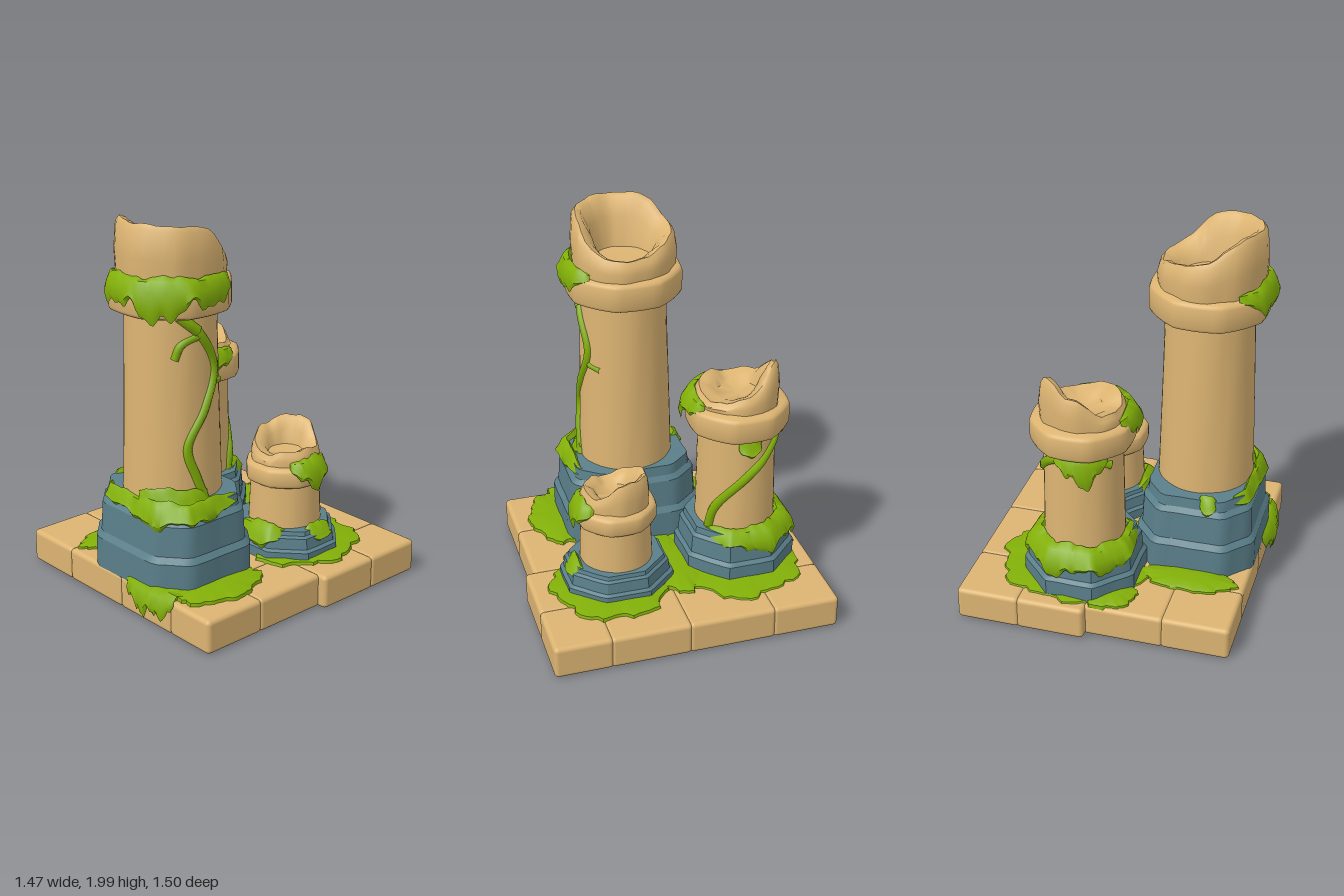
import * as THREE from 'three';
import { toCreasedNormals } from 'three/addons/utils/BufferGeometryUtils.js';
import { RoundedBoxGeometry } from 'three/addons/geometries/RoundedBoxGeometry.js';

const TAU = Math.PI * 2, rad = THREE.MathUtils.degToRad, lerp = THREE.MathUtils.lerp;

function makeMaterial(name, color, side = THREE.FrontSide) {
  const m = new THREE.MeshStandardMaterial({ color, side });
  m.name = name;
  return m;
}
const sand = makeMaterial('sandstone', 0xdcb472);
const slate = makeMaterial('blueStone', 0x5a7f8a);
const moss = makeMaterial('moss', 0x82af08, THREE.DoubleSide);

function add(parent, name, geometry, material) {
  const m = new THREE.Mesh(geometry, material);
  m.name = name;
  parent.add(m);
  return m;
}

// Smooth repeating wobble in about -1..1
const wobble = (a, seed) =>
  Math.sin(a * 3 + seed) * 0.5 + Math.sin(a * 7 + seed * 2.3) * 0.3 + Math.sin(a * 13 + seed * 4.1) * 0.2;

// Distance to a unit square with its corners cut off (k = 1.414 is an octagon)
function cutSquare(a, k) {
  const c = Math.abs(Math.cos(a)), s = Math.abs(Math.sin(a));
  return 1 / Math.max(c, s, (c + s) / k);
}
const softOctagon = a => lerp(1, cutSquare(a, 1.414), 0.45);

// Grid surface: fn(u index, v index) gives [x, y, z]; wrap joins the first and last columns
function surface(nu, nv, wrap, fn, crease = 0.9) {
  const pos = [], index = [], cols = wrap ? nu : nu + 1;
  for (let v = 0; v < nv; v++) for (let u = 0; u < cols; u++) pos.push(...fn(u, v));
  for (let v = 0; v < nv - 1; v++) for (let u = 0; u < nu; u++) {
    const a = v * cols + u, b = v * cols + (u + 1) % cols;
    index.push(a, a + cols, b, b, a + cols, b + cols);
  }
  const g = new THREE.BufferGeometry();
  g.setAttribute('position', new THREE.Float32BufferAttribute(pos, 3));
  g.setIndex(index);
  return toCreasedNormals(g, crease);
}

// Turned part whose radius may vary with the angle
function turned(profile, shape, n = 48, crease = 0.6) {
  return surface(n, profile.length, true, (u, v) => {
    const a = u / n * TAU, [r, y] = profile[v], q = r * shape(a, y);
    return [Math.cos(a) * q, y, Math.sin(a) * q];
  }, crease);
}

// Broken hollow top with eight rim heights, starting at +x and turning towards +z
function brokenCrown(ro, ri, y0, rim, seed) {
  const n = 40, floor = y0 + 0.025;
  return surface(n, 8, true, (u, v) => {
    const t = u / n * 8, i = Math.floor(t), f = t - i, a = u / n * TAU;
    const h = lerp(rim[i], rim[(i + 1) % 8], f * f * (3 - 2 * f)) + wobble(a, seed) * 0.015;
    const w = 1 + wobble(a, seed + 2) * 0.045;
    const [r, y] = [
      [ro * 0.98, y0 - 0.02], [ro * 1.01, lerp(y0, h, 0.45)], [ro * 0.97, h - 0.025],
      [ro * 0.9, h], [lerp(ri, ro, 0.45), h - 0.01], [ri * 1.02, lerp(floor, h, 0.6)],
      [ri * 0.85, floor + 0.01], [0, floor],
    ][v];
    return [Math.cos(a) * r * w, y, Math.sin(a) * r * w];
  });
}

// Moss draped over a ledge between two angles in degrees, with a ragged hem
function mossDrape(from, to, rIn, rOut, top, drop, shape) {
  const n = Math.ceil((to - from) / 3), seed = top * 7;
  return surface(n, 6, false, (u, v) => {
    const t = u / n, a = rad(lerp(from, to, t)), q = shape(a);
    const bulge = Math.max(Math.sin(Math.PI * t), 0), env = Math.sqrt(bulge);
    const hem = drop * Math.pow(bulge, 0.8) * (0.65 + 0.45 * wobble(a * 2, seed));
    const edge = lerp(rIn, rOut, 0.3 + 0.7 * env);
    const [r, y] = [
      [rIn - 0.015, top - 0.02], [rIn + 0.01, top + 0.03 * env * (1 + wobble(a * 2, seed + 1) * 0.5)],
      [lerp(rIn, edge, 0.65), top + 0.015 * env], [edge, top - 0.03],
      [edge + 0.015 * env, top - 0.03 - hem * 0.6], [edge, top - 0.03 - hem],
    ][v];
    return [Math.cos(a) * r * q, y, Math.sin(a) * r * q];
  });
}

// Low irregular moss mound on the paving
function groundMoss(group, x, z, rx, rz, y) {
  const profile = [[1, 0.17], [0.98, y - 0.008], [0.85, y], [0.4, y + 0.008], [0, y + 0.01]];
  const shape = a => 1 + 0.11 * wobble(a * 2, x * 9 + z * 5);
  const g = surface(64, profile.length, true, (u, v) => {
    const a = u / 64 * TAU, r = profile[v][0] * shape(a);
    return [x + Math.cos(a) * rx * r, profile[v][1], z + Math.sin(a) * rz * r];
  });
  add(group, 'groundMoss', g, moss);
}

// One column; returns helpers that dress it with moss and vines
function column(group, name, x, z, { k, depth, half, plinthTop, shaft, cap, crown, rim }) {
  const g = new THREE.Group();
  g.name = name;
  g.position.set(x, 0, z);
  group.add(g);
  const [r0, r1] = shaft, [cr, c0, c1] = cap, e = 0.022, seed = x * 6;
  const y0 = plinthTop - 0.03;
  const radiusAt = y => lerp(r0, r1, (y - y0) / (c0 - y0));

  // Stepped plinth
  const level = t => lerp(0.17, plinthTop, t);
  const steps = [[1, 0], [1, 0.38], [0.935, 0.45], [0.91, 0.81], [0.85, 0.87], [0.83, 1], [0.6, 1.01]];
  add(g, 'plinth', turned(steps.map(([w, t]) => [w * half, level(t)]),
    a => cutSquare(a, k) * (1 + wobble(a, seed) * 0.012), 64, 0.5), slate).scale.z = depth;

  // Slightly worn shaft
  const rows = Array.from({ length: 9 }, (_, j) => lerp(y0, c0 + 0.02, j / 8));
  add(g, 'shaft', turned(rows.map(y => [radiusAt(y), y]),
    (a, y) => 1 + 0.012 * wobble(a + y * 0.4, seed + 1)), sand);

  // Rounded capital ring
  add(g, 'capital', turned([
    [r1 - 0.02, c0], [cr - e, c0], [cr - 0.006, c0 + 0.008], [cr, c0 + e],
    [cr, c1 - e], [cr - 0.006, c1 - 0.008], [cr - e, c1], [crown[0] * 0.8, c1 + 0.012],
  ], a => softOctagon(a) * 0.985, 48, 0.9), sand);
  add(g, 'brokenTop', brokenCrown(...crown, c1, rim, seed), sand);

  return {
    capitalMoss: (from, to, drop) =>
      add(g, 'capitalMoss', mossDrape(from, to, crown[0] - 0.01, cr + 0.02, c1 + 0.025, drop, softOctagon), moss),
    shaftMoss: (from, to, y, drop, bulge) =>
      add(g, 'shaftMoss', mossDrape(from, to, radiusAt(y), radiusAt(y) + bulge, y, drop, () => 1), moss),
    plinthMoss: (from, to, drop, reach) => {
      const drape = mossDrape(from, to, r0 - 0.01, half * reach, plinthTop, drop, a => cutSquare(a, k));
      add(g, 'plinthMoss', drape, moss).scale.z = depth;
    },
    // Vine through [angle, height] points, half sunk into the shaft
    vine: (thick, ...points) => {
      const path = points.map(([d, y]) => {
        const r = radiusAt(y) - 0.004;
        return new THREE.Vector3(Math.cos(rad(d)) * r, y, Math.sin(rad(d)) * r);
      });
      const curve = new THREE.CatmullRomCurve3(path);
      add(g, 'vine', new THREE.TubeGeometry(curve, points.length * 7, thick, 6), moss);
    },
  };
}

export function createModel() {
  const group = new THREE.Group();
  group.name = 'ruinedColumns';

  // Paved base; the two right-hand rows of slabs reach a little further
  const xs = [-0.68, -0.34, 0.065, 0.41, 0.73], zs = [-1, -0.54, 0.06, 0.61, 1];
  for (let i = 0; i < 4; i++) for (let j = 0; j < 4; j++) {
    const half = i < 2 ? 0.7 : 0.745, z0 = zs[j] * half, z1 = zs[j + 1] * half;
    const w = xs[i + 1] - xs[i], d = z1 - z0;
    const slab = add(group, 'slab', new RoundedBoxGeometry(w + 0.014, 0.178, d + 0.014, 3, 0.024), sand);
    slab.position.set(xs[i] + w / 2, 0.089, (z0 + z1) / 2);
  }

  const tall = column(group, 'tallColumn', -0.37, 0.08, {
    k: 1.6, depth: 1.18, half: 0.315, plinthTop: 0.6,
    shaft: [0.25, 0.225], cap: [0.302, 1.54, 1.69], crown: [0.27, 0.165],
    rim: [1.8, 1.82, 1.96, 1.99, 1.98, 1.98, 1.88, 1.83],
  });
  tall.capitalMoss(52, 228, 0.17);
  tall.plinthMoss(55, 228, 0.08, 0.91);
  tall.plinthMoss(243, 262, 0.08, 0.9);
  tall.shaftMoss(88, 170, 0.65, 0.09, 0.035);
  tall.vine(0.025, [120, 1.55], [92, 1.44], [68, 1.26], [87, 1.07], [112, 0.88], [101, 0.72], [90, 0.6]);
  tall.vine(0.03, [120, 1.54], [108, 1.5], [96, 1.46]);
  tall.vine(0.022, [126, 1.33], [118, 1.4], [92, 1.44]);
  tall.vine(0.018, [67, 1.18], [47, 1.17]);

  const middle = column(group, 'middleColumn', 0.155, -0.375, {
    k: 1.43, depth: 1, half: 0.295, plinthTop: 0.43,
    shaft: [0.21, 0.2], cap: [0.262, 0.97, 1.11], crown: [0.215, 0.125],
    rim: [1.2, 1.16, 1.18, 1.2, 1.18, 1.19, 1.28, 1.37],
  });
  middle.capitalMoss(65, 200, 0.14);
  middle.plinthMoss(-215, 62, 0.11, 0.97);
  middle.shaftMoss(-140, -65, 0.98, 0.15, 0.05);
  middle.shaftMoss(-18, 16, 0.945, 0.05, 0.03);
  middle.vine(0.026, [62, 0.4], [51, 0.55], [3, 0.75], [-20, 0.82], [-56, 0.92], [-90, 0.95], [-150, 0.9]);

  const short = column(group, 'shortColumn', 0.22, 0.295, {
    k: 1.43, depth: 1.12, half: 0.25, plinthTop: 0.33,
    shaft: [0.19, 0.18], cap: [0.207, 0.55, 0.655], crown: [0.175, 0.105],
    rim: [0.82, 0.74, 0.75, 0.73, 0.72, 0.76, 0.8, 0.84],
  });
  short.capitalMoss(52, 128, 0.12);
  short.plinthMoss(62, 108, 0.06, 0.93);
  short.plinthMoss(138, 205, 0.07, 0.98);

  // Moss around the plinths and between the columns
  groundMoss(group, 0.22, -0.35, 0.39, 0.35, 0.195);
  groundMoss(group, -0.39, -0.34, 0.25, 0.11, 0.197);
  groundMoss(group, 0.2, -0.02, 0.27, 0.15, 0.199);
  groundMoss(group, 0.27, 0.34, 0.325, 0.31, 0.201);
  groundMoss(group, -0.4, 0.44, 0.26, 0.18, 0.203);
  groundMoss(group, -0.6, 0.25, 0.08, 0.2, 0.205);
  groundMoss(group, -0.02, -0.57, 0.15, 0.13, 0.198);

  // Moss hanging over the side of the base
  add(group, 'hangingMoss', surface(24, 5, false, (u, v) => {
    const t = u / 24, env = Math.sqrt(Math.max(Math.sin(Math.PI * t), 0));
    const hem = 0.13 * env * (0.75 + 0.4 * wobble(t * 5, 2));
    const [x, y] = [
      [-0.58, 0.19], [-0.67, 0.215], [-0.69 - 0.02 * env, 0.19],
      [-0.69 - 0.045 * env, 0.17 - hem * 0.6], [-0.69 - 0.03 * env, 0.17 - hem],
    ][v];
    return [x, y, lerp(0.1, 0.46, t)];
  }), moss);

  return group;
}
